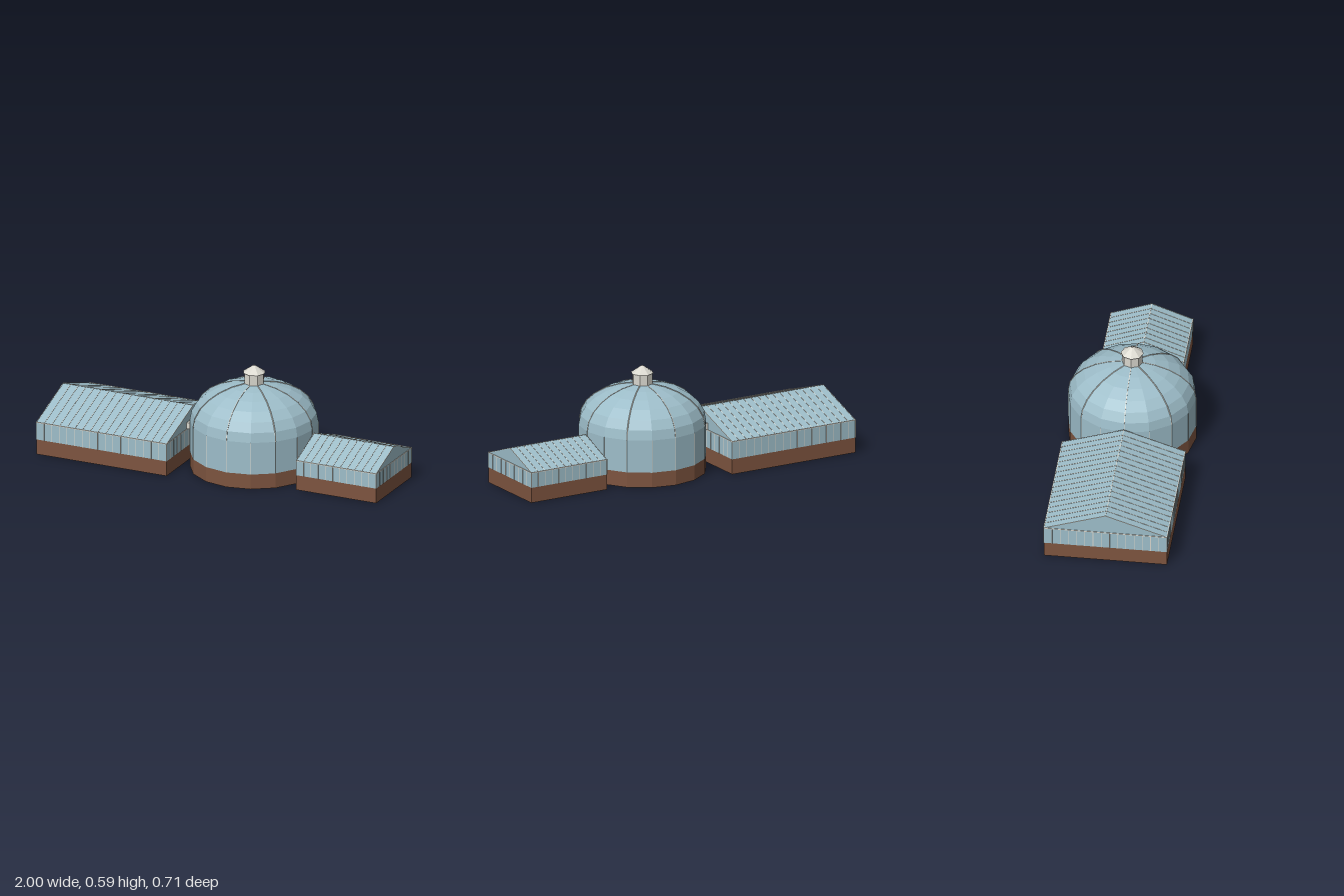
import * as THREE from 'three';
import { mergeGeometries } from 'three/addons/utils/BufferGeometryUtils.js';

const mat = (name, color) => {
  const m = new THREE.MeshStandardMaterial({ color, flatShading: true, side: THREE.DoubleSide });
  m.name = name;
  return m;
};
const V = (x, y, z) => new THREE.Vector3(x, y, z);

export function createModel() {
  const glass = mat('blue glass', 0x9dbdc9);
  const brick = mat('brown brick', 0x7d543f);
  const trim = mat('pale trim', 0xd9d7ce);
  const model = new THREE.Group();
  model.name = 'conservatory';

  const add = (parent, name, geometry, material) => {
    const mesh = new THREE.Mesh(geometry, material);
    mesh.name = name;
    parent.add(mesh);
    return mesh;
  };

  // Thin square bar between two points
  const bar = (a, b, w = 0.004) => {
    const d = b.clone().sub(a);
    const g = new THREE.BoxGeometry(w, d.length(), w);
    g.applyQuaternion(new THREE.Quaternion().setFromUnitVectors(V(0, 1, 0), d.normalize()));
    const m = a.clone().add(b).multiplyScalar(0.5);
    return g.translate(m.x, m.y, m.z);
  };

  // Flat panel fanned from its corners, given counter-clockwise from outside
  const panel = (...p) => {
    const pos = [];
    for (let i = 1; i < p.length - 1; i++) {
      for (const q of [p[0], p[i], p[i + 1]]) pos.push(q.x, q.y, q.z);
    }
    const g = new THREE.BufferGeometry();
    g.setAttribute('position', new THREE.Float32BufferAttribute(pos, 3));
    g.computeVertexNormals();
    return g;
  };

  const baseTop = 0.085;

  // Domed rotunda
  const dome = new THREE.Group();
  dome.name = 'rotunda';
  dome.position.x = 0.155;
  model.add(dome);
  const R = 0.351, spring = 0.268;
  add(dome, 'rotundaBase', new THREE.CylinderGeometry(R, R, baseTop, 16, 1, true).translate(0, baseTop / 2, 0), brick);
  const wallH = spring - baseTop;
  add(dome, 'rotundaWall', new THREE.CylinderGeometry(R, R, wallH, 16, 1, true).translate(0, baseTop + wallH / 2, 0), glass);
  const profile = [];
  for (let i = 0; i <= 6; i++) {
    const t = THREE.MathUtils.degToRad(i * 13.7);
    profile.push(new THREE.Vector2(R * Math.cos(t), spring + 0.224 * Math.sin(t)));
  }
  add(dome, 'domeShell', new THREE.LatheGeometry(profile, 16), glass);

  // Wall mullions at every corner, curved ribs at every second one
  const ribs = [];
  for (let k = 0; k < 16; k++) {
    const a = (k * Math.PI) / 8;
    const at = (r, y) => V(r * Math.sin(a), y, r * Math.cos(a));
    ribs.push(bar(at(R - 0.001, baseTop), at(R - 0.001, spring), 0.003));
    if (k % 2) continue;
    for (let i = 0; i < 6; i++) {
      ribs.push(bar(at(profile[i].x, profile[i].y), at(profile[i + 1].x, profile[i + 1].y)));
    }
  }
  add(dome, 'domeRibs', mergeGeometries(ribs), trim);

  // Octagonal lantern
  add(dome, 'lantern', new THREE.CylinderGeometry(0.056, 0.056, 0.062, 8).translate(0, 0.519, 0), trim);
  add(dome, 'lanternRoof', new THREE.CylinderGeometry(0.006, 0.063, 0.04, 8).translate(0, 0.57, 0), trim);

  // Gabled glasshouse wing running along x
  const wing = (name, x0, x1, halfZ, eave, ridge) => {
    const g = new THREE.Group();
    g.name = name;
    model.add(g);
    const h = halfZ, nx = Math.round((x1 - x0) / 0.045), nz = Math.round((2 * h) / 0.045);

    // Open-bottomed brick plinth and glass walls
    const walls = (y0, y1) => mergeGeometries([
      panel(V(x0, y0, h), V(x1, y0, h), V(x1, y1, h), V(x0, y1, h)),
      panel(V(x1, y0, -h), V(x0, y0, -h), V(x0, y1, -h), V(x1, y1, -h)),
      panel(V(x1, y0, h), V(x1, y0, -h), V(x1, y1, -h), V(x1, y1, h)),
      panel(V(x0, y0, -h), V(x0, y0, h), V(x0, y1, h), V(x0, y1, -h)),
    ]);
    add(g, 'plinth', walls(0, baseTop), brick);
    add(g, 'glassWalls', walls(baseTop, eave), glass);

    // Roof slopes and gable triangles
    add(g, 'roof', mergeGeometries([
      panel(V(x0, eave, h), V(x1, eave, h), V(x1, ridge, 0), V(x0, ridge, 0)),
      panel(V(x1, eave, -h), V(x0, eave, -h), V(x0, ridge, 0), V(x1, ridge, 0)),
    ]), glass);
    add(g, 'gables', mergeGeometries([
      panel(V(x1, eave, h), V(x1, eave, -h), V(x1, ridge, 0)),
      panel(V(x0, eave, -h), V(x0, eave, h), V(x0, ridge, 0)),
    ]), glass);

    // Glazing bars on walls and roof
    const bars = [];
    for (const s of [-1, 1]) {
      for (let i = 0; i <= nx; i++) {
        const x = THREE.MathUtils.lerp(x0 + 0.001, x1 - 0.001, i / nx);
        bars.push(bar(V(x, baseTop, s * h), V(x, eave, s * h), 0.003));
        bars.push(bar(V(x, eave, s * h), V(x, ridge, 0), 0.003));
      }
      const x = s > 0 ? x1 : x0;
      for (let i = 0; i <= nz; i++) {
        const z = THREE.MathUtils.lerp(-h, h, i / nz);
        bars.push(bar(V(x, baseTop, z), V(x, eave, z), 0.003));
      }
      bars.push(bar(V(x, eave, -h), V(x, eave, h), 0.005));
      bars.push(bar(V(x0, eave, s * h), V(x1, eave, s * h), 0.005));
    }
    bars.push(bar(V(x0, ridge, 0), V(x1, ridge, 0), 0.003));
    add(g, 'glazingBars', mergeGeometries(bars), trim);
  };
  wing('largeWing', -0.998, -0.212, 0.338, 0.185, 0.298);
  wing('smallWing', 0.516, 0.998, 0.225, 0.17, 0.254);

  // Lintels linking the wings to the rotunda
  add(model, 'largeWingLink', new THREE.BoxGeometry(0.026, 0.035, 0.17).translate(-0.201, 0.207, 0), trim);
  add(model, 'smallWingLink', new THREE.BoxGeometry(0.024, 0.03, 0.17).translate(0.508, 0.18, 0), trim);

  return model;
}
